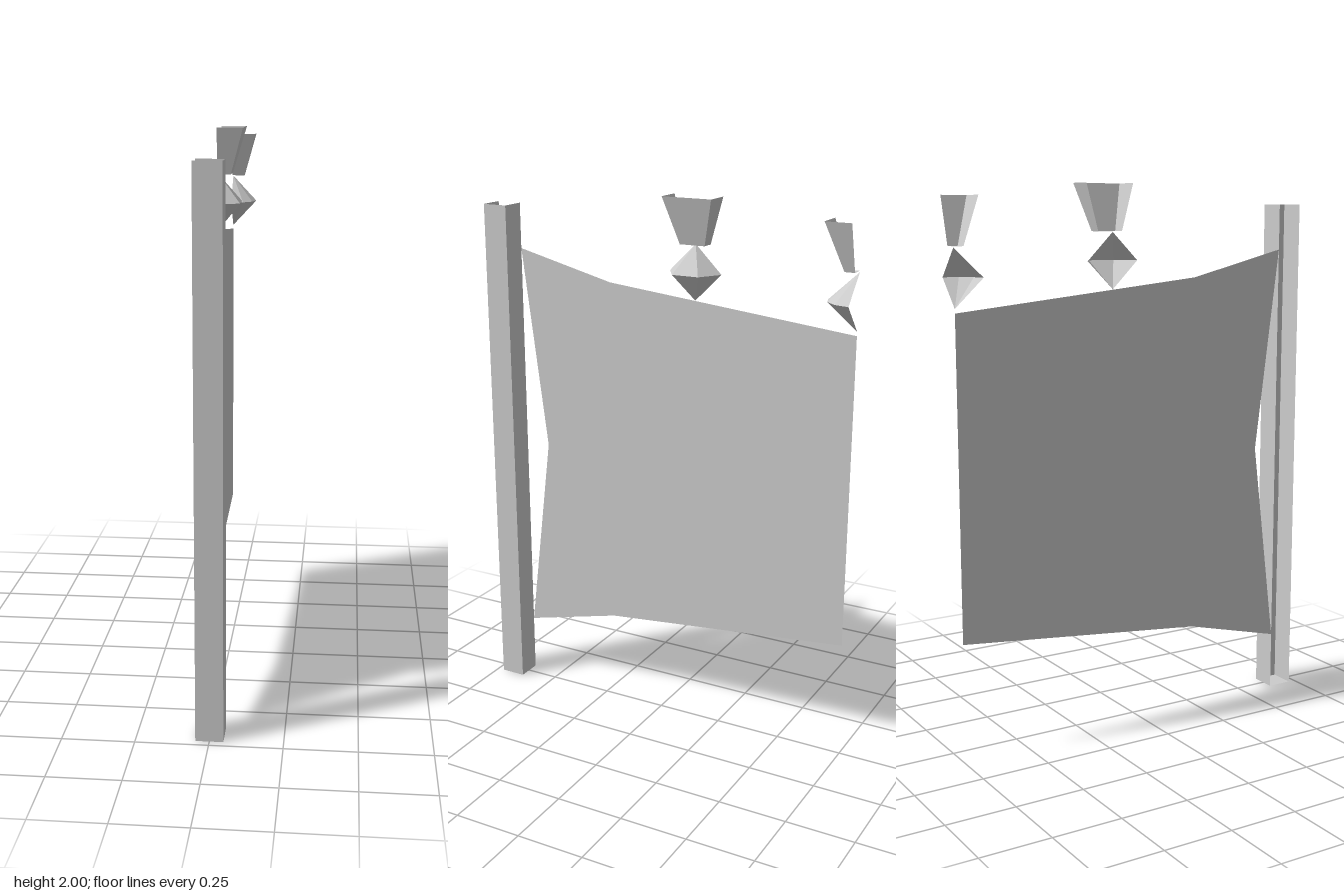
import * as THREE from 'three';

const X0 = -0.0475; // plane along which the half-shells are open
const material = new THREE.MeshStandardMaterial({
  color: 0xcccccc, flatShading: true, side: THREE.DoubleSide,
});

function part(name, geometry, x, y, z) {
  const mesh = new THREE.Mesh(geometry, material);
  mesh.name = name;
  mesh.position.set(x, y, z);
  return mesh;
}

// Open-topped shell: walls between two [x, z] paths, with a floor fanned from the axis
function openShell(lower, upper, height) {
  const v = [];
  for (let i = 0; i < lower.length - 1; i++) {
    const [a, b] = [lower[i], lower[i + 1]].map(([x, z]) => [x, 0, z]);
    const [d, c] = [upper[i], upper[i + 1]].map(([x, z]) => [x, height, z]);
    v.push(...a, ...b, ...c, ...a, ...c, ...d, 0, 0, 0, ...b, ...a);
  }
  const g = new THREE.BufferGeometry();
  g.setAttribute('position', new THREE.Float32BufferAttribute(v, 3));
  g.computeVertexNormals();
  return g;
}

// Square path around the axis: half of it, or a quarter when cut at the end
const squarePath = (x, z, quarter) =>
  quarter ? [[0, z], [x, z], [x, 0]] : [[0, z], [x, z], [x, -z], [0, -z]];

// Finial: diamond bead with a flared cup on top
function finial(name, { quarter, beadY, beadZ, beadR, cupY, cupZ, cupLowZ }) {
  const group = new THREE.Group();
  group.name = name;
  const bead = new THREE.SphereGeometry(1, quarter ? 1 : 2, 2, Math.PI / 2, quarter ? Math.PI / 2 : Math.PI);
  bead.scale(0.095, 0.101, beadR);
  const cup = openShell(squarePath(0.0475, cupLowZ, quarter), squarePath(0.095, 0.095, quarter), 0.168);
  group.add(part('finialBead', bead, X0, beadY, beadZ), part('finialCup', cup, X0, cupY, cupZ));
  return group;
}

export function createModel() {
  const model = new THREE.Group();
  model.name = 'bannerSection';

  // Hollow post, open at the top and along the cut side
  const postPath = squarePath(0.095, 0.048, false);
  model.add(part('post', openShell(postPath, postPath, 1.928), X0, 0, 0.676));

  // Stretched panel, outline in (-z, y)
  const outline = [
    [0.628, 1.758], [0.24, 1.662], [-0.723, 1.566], [-0.723, 0.413],
    [0.24, 0.318], [0.628, 0.22], [0.53, 0.992],
  ];
  const panel = new THREE.ShapeGeometry(new THREE.Shape(outline.map(([z, y]) => new THREE.Vector2(-z, y))));
  panel.rotateY(Math.PI / 2);
  model.add(part('panel', panel, X0, 0, 0));

  // Finials along the top edge
  model.add(finial('middleFinial', {
    beadY: 1.729, beadZ: -0.112, beadR: 0.102, cupY: 1.832, cupZ: -0.122, cupLowZ: 0.0485,
  }));
  model.add(finial('endFinial', {
    quarter: true, beadY: 1.682, beadZ: -0.723, beadR: 0.108, cupY: 1.787, cupZ: -0.723, cupLowZ: 0.037,
  }));
  return model;
}
